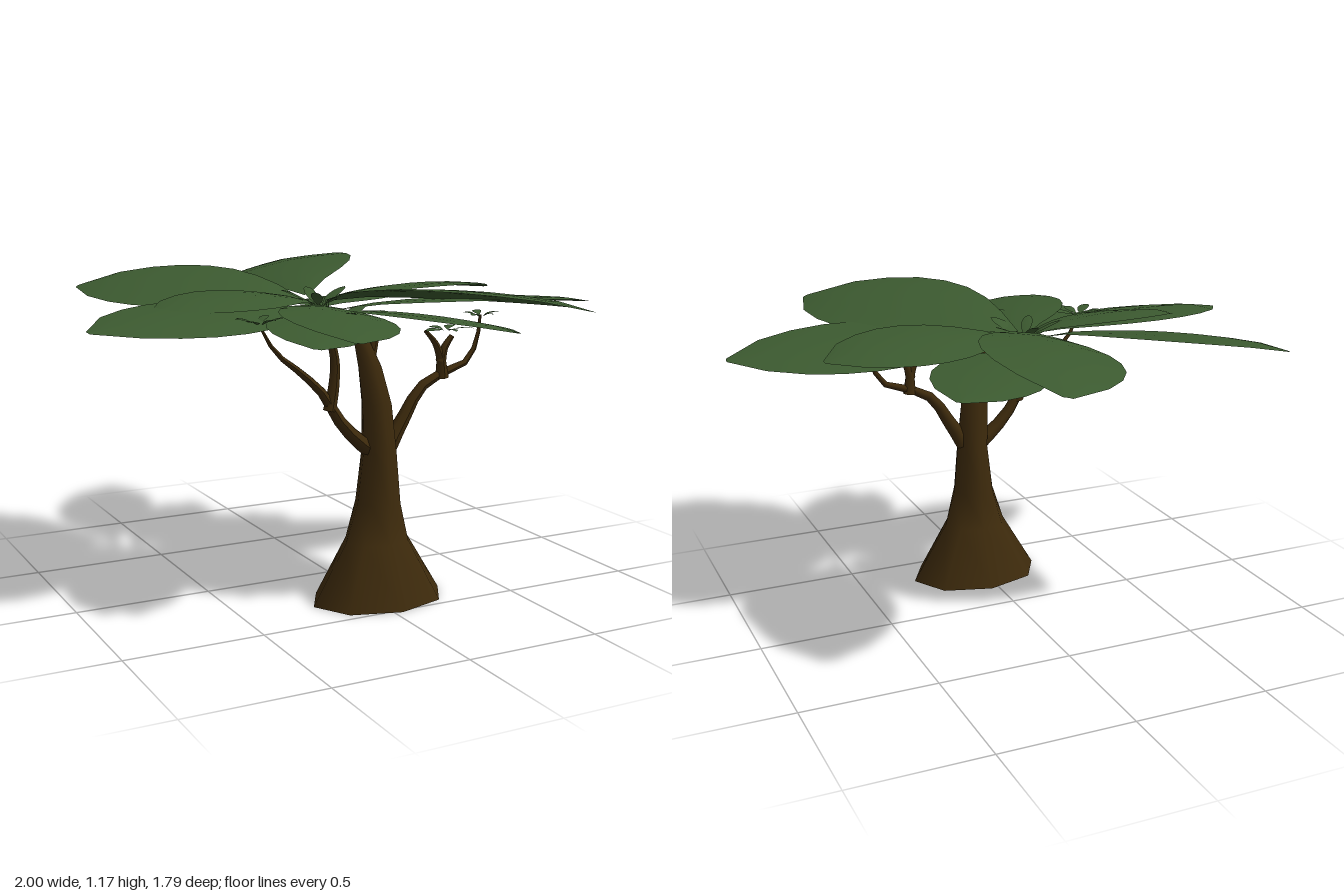
import * as THREE from 'three';
import { mergeVertices } from 'three/addons/utils/BufferGeometryUtils.js';

const bark = new THREE.MeshStandardMaterial({ color: 0x3d2a0c, side: THREE.DoubleSide });
const green = new THREE.MeshStandardMaterial({ color: 0x3c5a30, side: THREE.DoubleSide });
const TRUNK_Z = 0.33;

function add(parent, geometry, material, name) {
  const mesh = new THREE.Mesh(geometry, material);
  mesh.name = name;
  parent.add(mesh);
  return mesh;
}

// Builds a smooth surface from rows of equally many points
function sheet(rows) {
  const n = rows[0].length, index = [];
  for (let i = 0; i < rows.length - 1; i++) {
    for (let j = 0; j < n - 1; j++) {
      const a = i * n + j, b = a + n;
      index.push(a, a + 1, b, b, a + 1, b + 1);
    }
  }
  const g = new THREE.BufferGeometry();
  g.setAttribute('position', new THREE.Float32BufferAttribute(rows.flat(2), 3));
  g.setIndex(index);
  const merged = mergeVertices(g);
  merged.computeVertexNormals();
  return merged;
}

// Elliptical rings of [y, centre x, radius x, radius z]
function ringSurface(rings) {
  const sides = 8;
  return sheet(rings.map(([y, cx, rx, rz]) => Array.from({ length: sides + 1 }, (_, j) => {
    const a = (j / sides) * Math.PI * 2;
    return [cx + rx * Math.cos(a), y, TRUNK_Z - rz * Math.sin(a)];
  })));
}

// Tube along a curve whose radius shrinks from r0 to r1
function limbGeometry(points, r0, r1) {
  const curve = new THREE.CatmullRomCurve3(points.map(p => new THREE.Vector3(...p)));
  const segs = 10, sides = 7;
  const g = new THREE.TubeGeometry(curve, segs, 1, sides);
  const pos = g.attributes.position, v = new THREE.Vector3();
  for (let i = 0; i < pos.count; i++) {
    const t = Math.floor(i / (sides + 1)) / segs;
    const c = curve.getPointAt(t);
    v.fromBufferAttribute(pos, i).sub(c).multiplyScalar(r0 + (r1 - r0) * t ** 0.75).add(c);
    pos.setXYZ(i, v.x, v.y, v.z);
  }
  g.computeVertexNormals();
  return g;
}

// Domed leaf from base to tip; roll lifts its right edge, arch lifts its middle
const LEAF_WIDTH = [0.04, 0.36, 0.68, 0.9, 1, 0.99, 0.86, 0.6, 0.06];
function leafGeometry(base, tip, halfWidth, arch, roll) {
  const dx = tip[0] - base[0], dz = tip[2] - base[2], len = Math.hypot(dx, dz);
  return sheet(LEAF_WIDTH.map((w, i) => {
    const t = i / (LEAF_WIDTH.length - 1);
    return [-1, -0.55, 0, 0.55, 1].map(s => {
      const off = s * w * halfWidth;
      return [
        base[0] + dx * t - (dz / len) * off,
        base[1] + (tip[1] - base[1]) * t + arch * Math.max(0, Math.sin(Math.PI * t)) ** 0.6
          + roll * off - 0.08 * halfWidth * w * Math.abs(s) ** 1.5,
        base[2] + dz * t + (dx / len) * off,
      ];
    });
  }).map(row => row.reverse()).reverse());
}

export function createModel() {
  const tree = new THREE.Group();
  tree.name = 'tree';

  // Flared, leaning trunk and its flat underside
  add(tree, ringSurface([
    [0, 0.03, 0.258, 0.19], [0.22, 0.027, 0.125, 0.105], [0.36, 0.03, 0.082, 0.088],
    [0.55, 0.033, 0.062, 0.07], [0.72, 0.022, 0.056, 0.054], [0.85, -0.005, 0.046, 0.038],
    [0.95, -0.04, 0.03, 0.025], [1.03, -0.068, 0.02, 0.012], [1.04, -0.07, 0, 0],
  ]), bark, 'trunk');
  add(tree, ringSurface([[0, 0.03, 0, 0], [0, 0.03, 0.258, 0.19]]), bark, 'trunkUnderside');

  // Branches lie in the plane of the trunk: points are [x, y]
  const branches = [
    ['rightBranch', [[0.02, 0.54], [-0.06, 0.6], [-0.14, 0.69], [-0.18, 0.76], [-0.26, 0.84], [-0.37, 0.93], [-0.42, 1.01]], 0.034, 0.005],
    ['rightBranchFork', [[-0.165, 0.71], [-0.148, 0.8], [-0.145, 0.89], [-0.165, 0.975]], 0.024, 0.014],
    ['leftBranch', [[0.07, 0.56], [0.14, 0.67], [0.2, 0.76], [0.3, 0.81], [0.39, 0.84], [0.435, 0.91], [0.45, 1.01]], 0.034, 0.005],
    ['leftBranchFork', [[0.29, 0.79], [0.285, 0.86], [0.26, 0.92], [0.22, 0.965]], 0.026, 0.007],
    ['leftBranchTwig', [[0.285, 0.85], [0.3, 0.9], [0.33, 0.94]], 0.02, 0.01],
    ['topTwig', [[-0.01, 0.88], [0.01, 0.94], [0.02, 1.02]], 0.024, 0.008],
  ];
  for (const [name, pts, r0, r1] of branches) {
    add(tree, limbGeometry(pts.map(([x, y]) => [x, y, TRUNK_Z]), r0, r1), bark, name);
  }

  // Great canopy leaves: base, tip, half width, arch, roll
  const canopy = new THREE.Group();
  canopy.name = 'canopy';
  tree.add(canopy);
  const leaves = [
    // Upper tier
    [[-0.06, 1.07, -0.06], [0.21, 1.1, -0.89], 0.24, 0.06, 0.19],
    [[-0.1, 1.06, -0.04], [-0.76, 1.08, -0.64], 0.25, 0.045, 0.2],
    [[-0.08, 1.05, 0.04], [-0.73, 1.06, 0.1], 0.16, 0.04, 0.12],
    [[-0.04, 1.06, 0.06], [0.53, 1.08, 0.89], 0.27, 0.055, 0.17],
    [[-0.01, 1.05, 0.01], [0.73, 1.06, -0.06], 0.2, 0.04, 0.11],
    // Lower tier
    [[-0.1, 1.03, 0.13], [-1, 1.03, 0.26], 0.24, 0.035, 0.12],
    [[-0.08, 1.04, 0.08], [-0.3, 1.02, 0.79], 0.2, 0.035, 0.12],
    [[-0.09, 1.02, 0.08], [-0.41, 1.0, 0.73], 0.17, 0.02, 0.1],
    [[0, 1.03, 0.1], [1, 1.02, 0.25], 0.25, 0.035, 0.12],
    [[-0.02, 1.02, -0.05], [0.41, 1.0, -0.5], 0.2, 0.02, 0.08],
    [[-0.05, 1.02, 0.1], [0.27, 1.02, 0.84], 0.2, 0.03, 0.15],
  ];
  const hub = [-0.065, 0.97, 0.13];
  for (const [base, tip, ...shape] of leaves) {
    add(canopy, leafGeometry(base, tip, ...shape), green, 'canopyLeaf');
    const mid = [(hub[0] + base[0]) / 2, base[1] - 0.02, (hub[2] + base[2]) / 2];
    add(canopy, limbGeometry([hub, mid, base], 0.006, 0.004), green, 'leafStalk');
  }

  // Rosettes of small leaves: centre, reach, count, rise, turn
  const rosettes = [
    [[-0.43, 1.03, 0.33], 0.11, 6, 0.02, 0.2],
    [[-0.1, 1.03, 0.33], 0.14, 5, 0.03, 0.6],
    [[0.29, 0.967, 0.36], 0.1, 5, 0.005, 0.4],
    [[0.45, 1.005, 0.33], 0.08, 5, 0.01, 0],
    [[-0.065, 1.04, 0.05], 0.14, 5, 0.06, 0.9],
  ];
  for (const [[x, y, z], reach, count, rise, turn] of rosettes) {
    const rosette = new THREE.Group();
    rosette.name = 'rosette';
    tree.add(rosette);
    for (let i = 0; i < count; i++) {
      const a = turn + (i / count) * Math.PI * 2, r = reach * (i % 2 ? 0.75 : 1);
      const tip = [x + r * Math.cos(a), y + rise, z + r * Math.sin(a)];
      const base = [x + 0.015 * Math.cos(a), y, z + 0.015 * Math.sin(a)];
      add(rosette, leafGeometry(base, tip, r * 0.2, 0.008, 0.1), green, 'smallLeaf');
    }
  }
  return tree;
}
